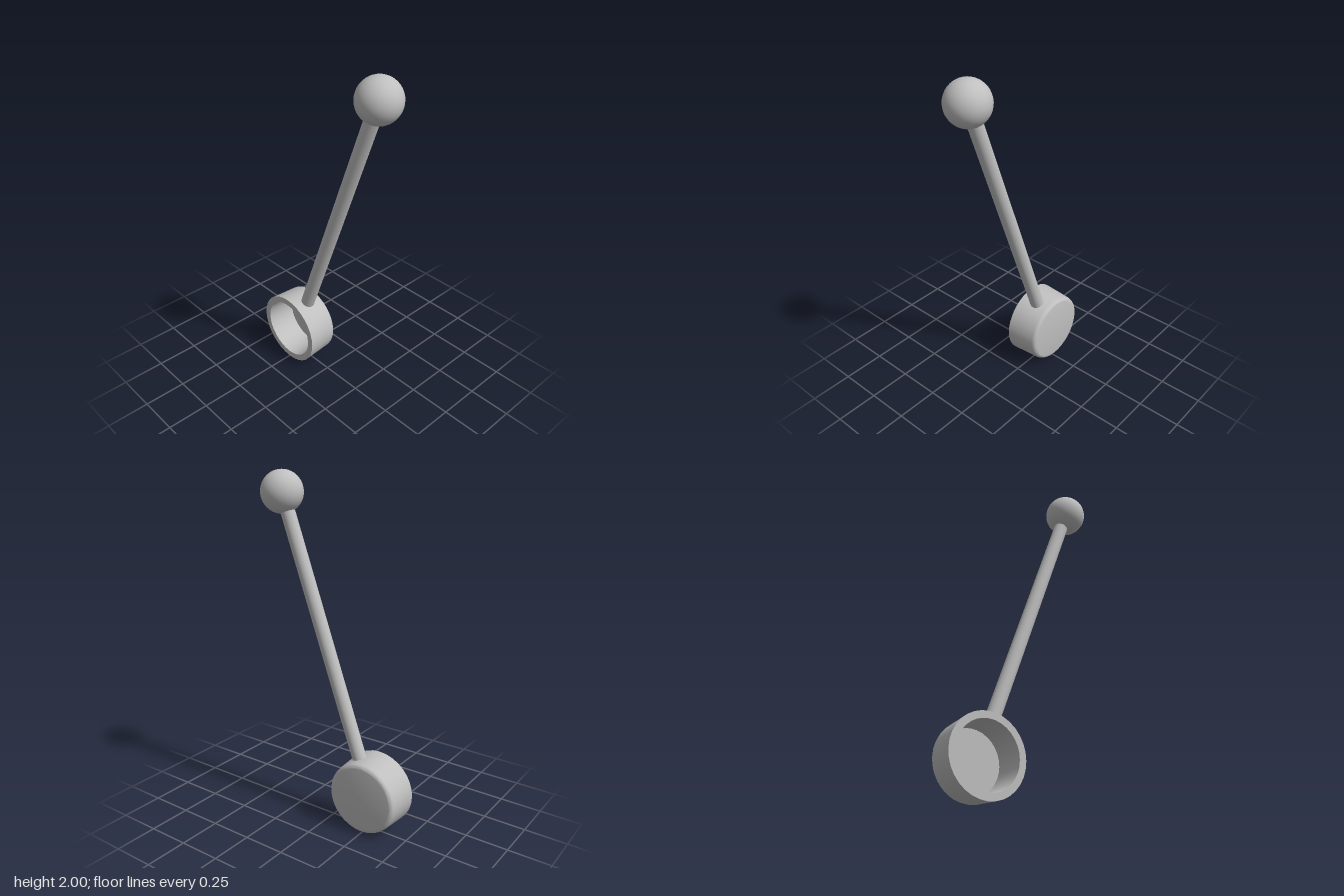
import * as THREE from 'three';
import { toCreasedNormals } from 'three/addons/utils/BufferGeometryUtils.js';

export function createModel() {
  const model = new THREE.Group();
  model.name = 'leverWithBallKnob';
  const grey = new THREE.MeshStandardMaterial({ color: 0xbfbfbf });
  grey.name = 'plain grey';

  const add = (name, geometry) => {
    const mesh = new THREE.Mesh(geometry, grey);
    mesh.name = name;
    model.add(mesh);
    return mesh;
  };

  const hubCentre = new THREE.Vector3(0, 0.223, -0.251);
  const ballCentre = new THREE.Vector3(0, 1.88, 0.35);

  // Hub: tapered hollow cap, open towards -x, rounded rim on the closed side
  const profile = [[0, 0.075], [0.175, 0.075], [0.183, -0.1], [0.222, -0.1], [0.211, 0.076]];
  for (let i = 1; i <= 4; i++) {
    const a = (i / 4) * Math.PI / 2;
    profile.push([0.187 + 0.023 * Math.cos(a), 0.077 + 0.023 * Math.sin(a)]);
  }
  profile.push([0, 0.1]);
  const hubGeometry = new THREE.LatheGeometry(profile.map(([r, h]) => new THREE.Vector2(r, h)), 32);
  const hub = add('hub', toCreasedNormals(hubGeometry, 0.7));
  hub.rotation.z = -Math.PI / 2;
  hub.position.copy(hubCentre);

  // Rod: runs from inside the hub wall into the ball
  const direction = ballCentre.clone().sub(hubCentre).normalize();
  const start = hubCentre.clone().addScaledVector(direction, 0.192);
  const rod = add('rod', new THREE.CylinderGeometry(0.041, 0.041, start.distanceTo(ballCentre), 24));
  rod.position.copy(start).lerp(ballCentre, 0.5);
  rod.quaternion.setFromUnitVectors(new THREE.Vector3(0, 1, 0), direction);

  // Ball knob
  add('ballKnob', new THREE.SphereGeometry(0.12, 32, 20)).position.copy(ballCentre);

  return model;
}
